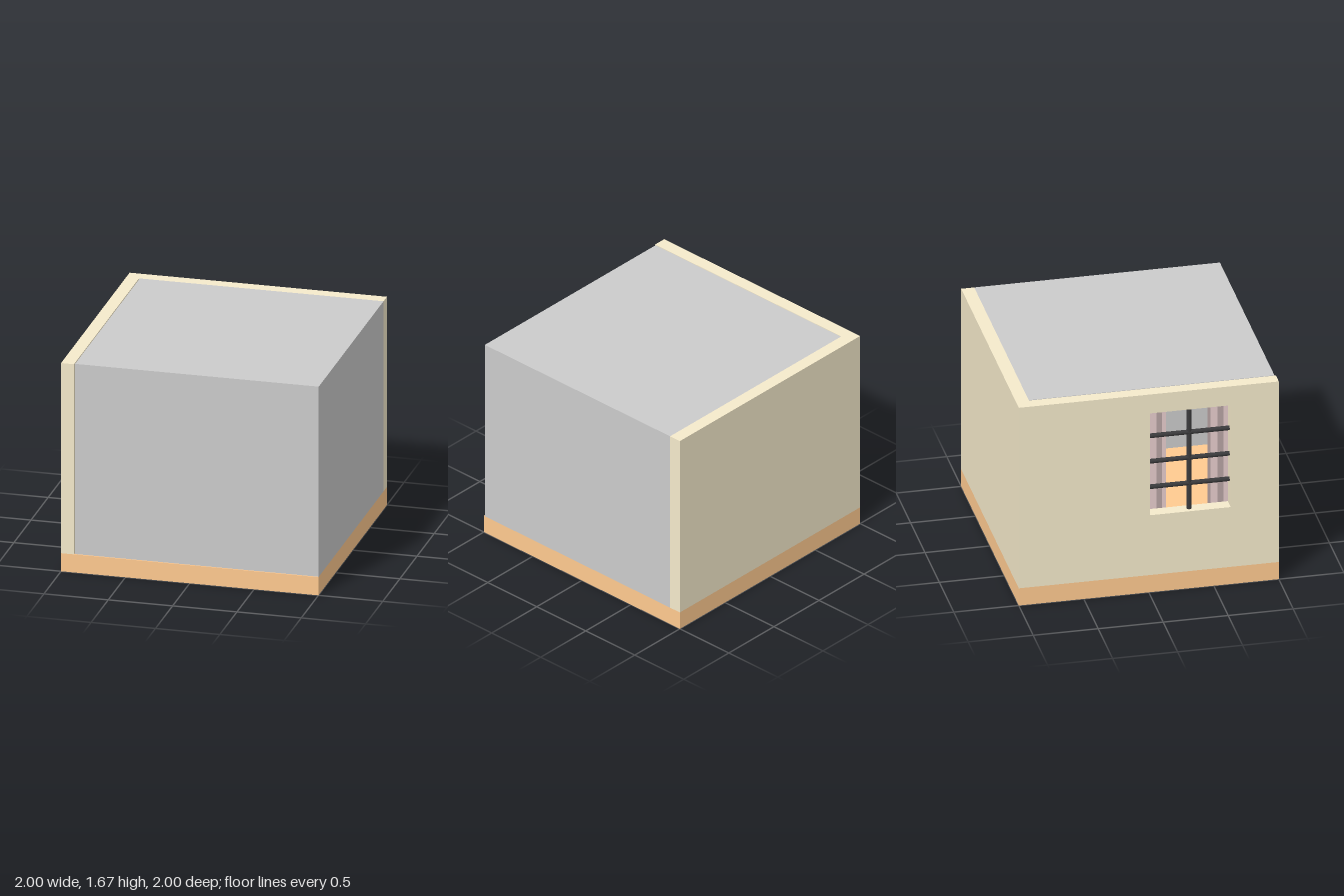
import * as THREE from 'three';

const mat = (color, side = THREE.FrontSide) =>
  new THREE.MeshStandardMaterial({ color, side, flatShading: true });

const BASE = 0.145, TOP = 1.67, INNER = -0.9;
const win = { z0: 0.01, z1: 0.63, y0: 0.65, y1: 1.51 };
const midZ = (win.z0 + win.z1) / 2;

export function createModel() {
  const model = new THREE.Group();
  const plaster = mat(0xf5eacb), trim = mat(0xffca90), iron = mat(0x3a3a3c);
  const pane = mat(0xcccccc, THREE.DoubleSide);
  const cloth = mat(0xd8c0c0, THREE.DoubleSide);

  const add = (name, geometry, material, x = 0, y = 0, z = 0, parent = model) => {
    const mesh = new THREE.Mesh(geometry, material);
    mesh.name = name;
    mesh.position.set(x, y, z);
    parent.add(mesh);
    return mesh;
  };

  // Floor slab: coloured sides and top, plaster underside
  add('floorSlab', new THREE.BoxGeometry(2, BASE, 2),
    [trim, trim, trim, plaster, trim, trim], 0, BASE / 2, 0);

  // Back wall
  add('backWall', new THREE.BoxGeometry(1.9, TOP - BASE, 0.1), plaster,
    0.05, (TOP + BASE) / 2, -0.95);

  // Side wall with window opening, drawn in z and y
  const rect = (path, a, b, c, d) =>
    path.moveTo(a, b).lineTo(c, b).lineTo(c, d).lineTo(a, d).closePath();
  const outline = new THREE.Shape();
  rect(outline, -1, BASE, 1, TOP);
  const hole = new THREE.Path();
  rect(hole, win.z0, win.y0, win.z1, win.y1);
  outline.holes.push(hole);
  const wall = add('windowWall',
    new THREE.ExtrudeGeometry(outline, { depth: 0.1, bevelEnabled: false }), plaster, INNER);
  wall.rotation.y = -Math.PI / 2;

  // Window bars set midway through the wall
  const bars = new THREE.Group();
  bars.name = 'windowBars';
  model.add(bars);
  const h = win.y1 - win.y0;
  add('verticalBar', new THREE.CylinderGeometry(0.018, 0.018, h, 16), iron,
    -0.95, win.y0 + h / 2, midZ, bars);
  for (let i = 1; i <= 3; i++) {
    add('horizontalBar', new THREE.CylinderGeometry(0.018, 0.018, win.z1 - win.z0 + 0.02, 16), iron,
      -0.95, win.y0 + h * i / 4, midZ, bars).rotation.x = Math.PI / 2;
  }

  // Pleated curtains on both sides of the window, with ties
  const curtains = new THREE.Group();
  curtains.name = 'curtains';
  model.add(curtains);
  for (const side of [-1, 1]) {
    const g = new THREE.PlaneGeometry(0.35, 1.08, 14, 1);
    const p = g.attributes.position;
    for (let i = 0; i < p.count; i++) {
      p.setZ(i, 0.015 * Math.sin((i % 15) * Math.PI / 2));
    }
    g.rotateY(Math.PI / 2);
    g.computeVertexNormals();
    const z = midZ + side * 0.335;
    add('curtain', g, cloth, -0.87, 1.05, z, curtains);
    add('curtainTie', new THREE.BoxGeometry(0.05, 0.08, 0.02), cloth,
      -0.875, 0.875, midZ + side * 0.51, curtains);
  }
  add('curtainRod', new THREE.CylinderGeometry(0.012, 0.012, 1.05, 12), iron,
    -0.87, 1.59, midZ, curtains).rotation.x = Math.PI / 2;

  // Thin panes closing the front, the open side and the top
  const x0 = INNER + 0.006, z1 = 0.99;
  const w = 1 - x0, d = z1 - INNER, ph = TOP - BASE;
  const cx = (1 + x0) / 2, cy = (TOP + BASE) / 2, cz = (z1 + INNER) / 2;
  add('frontPane', new THREE.PlaneGeometry(w, ph), pane, cx, cy, z1);
  add('sidePane', new THREE.PlaneGeometry(d, ph), pane, 1, cy, cz).rotation.y = Math.PI / 2;
  add('topPane', new THREE.PlaneGeometry(w, d), pane, cx, TOP, cz).rotation.x = -Math.PI / 2;

  return model;
}
